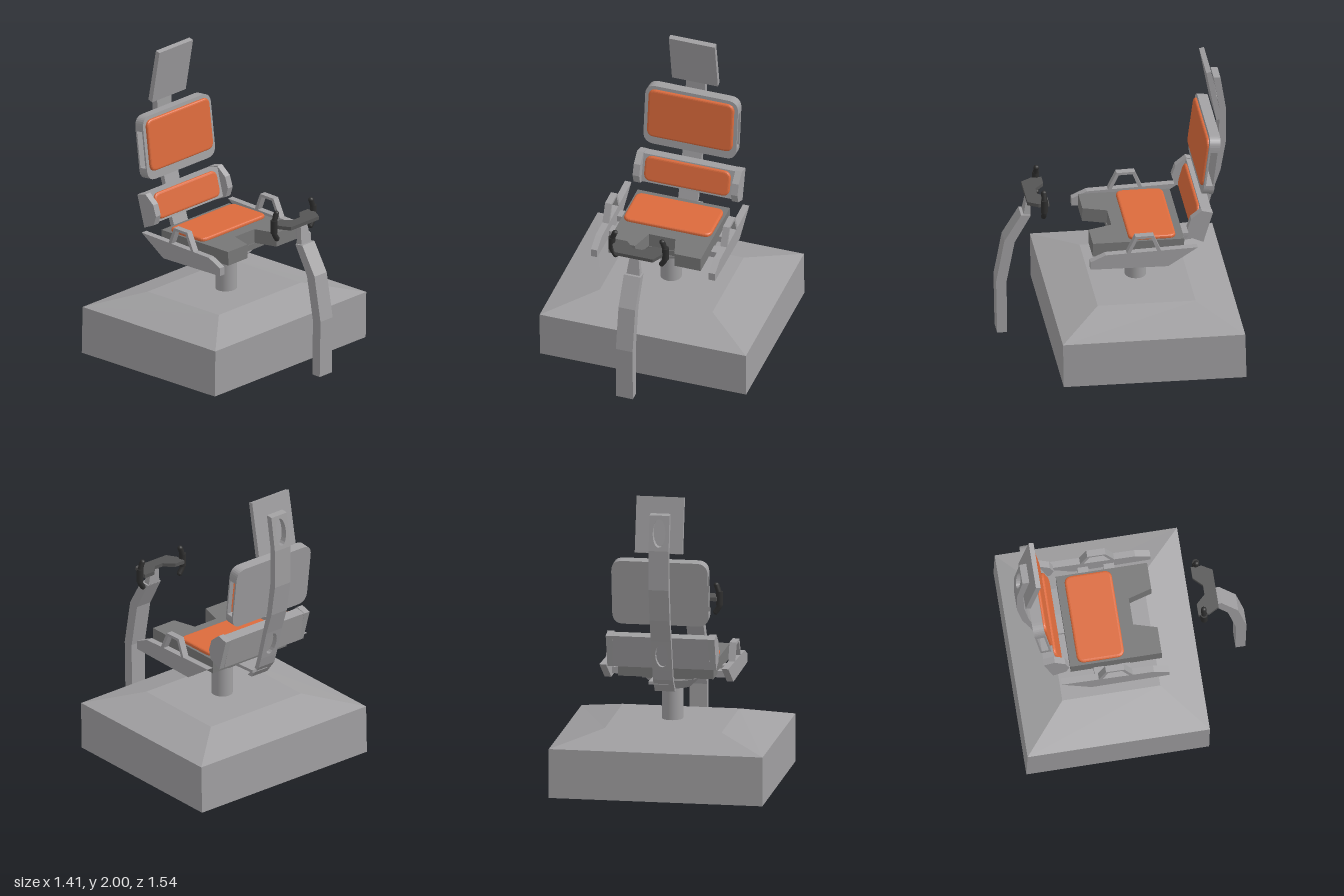
import * as THREE from 'three';

const mat = (name, color, both) => {
  const m = new THREE.MeshStandardMaterial({ color });
  m.name = name;
  if (both) m.side = THREE.DoubleSide;
  return m;
};

// Closed skin through four-cornered rings, listed bottom to top
function loft(rings) {
  const out = [];
  const quad = (a, b, c, d) => out.push(...a, ...b, ...c, ...a, ...c, ...d);
  for (let k = 0; k + 1 < rings.length; k++) {
    const r = rings[k], s = rings[k + 1];
    for (let i = 0; i < 4; i++) quad(r[i], r[(i + 1) % 4], s[(i + 1) % 4], s[i]);
  }
  quad(...[...rings[0]].reverse());
  quad(...rings[rings.length - 1]);
  const g = new THREE.BufferGeometry();
  g.setAttribute('position', new THREE.Float32BufferAttribute(out, 3));
  g.computeVertexNormals();
  return g;
}
// Ring from half width and the front and back edges as [z, y]
const ring = (w, [zf, yf], [zb, yb], cx = 0) =>
  [[cx + w, yf, zf], [cx + w, yb, zb], [cx - w, yb, zb], [cx - w, yf, zf]];

const polygon = pts => new THREE.Shape(pts.map(p => new THREE.Vector2(...p)));

// Side profile of [z, y] points, extruded across x about the centre
function profile(pts, width) {
  const g = new THREE.ExtrudeGeometry(polygon(pts), { depth: width, bevelEnabled: false });
  return g.translate(0, 0, -width / 2).rotateY(-Math.PI / 2);
}

// Rectangle with separate radii for the lower and upper corners
function roundRect(w, y0, y1, rLow, rHigh) {
  const s = new THREE.Shape(), h = w / 2;
  s.moveTo(-h + rLow, y0).lineTo(h - rLow, y0);
  if (rLow) s.quadraticCurveTo(h, y0, h, y0 + rLow);
  s.lineTo(h, y1 - rHigh);
  if (rHigh) s.quadraticCurveTo(h, y1, h - rHigh, y1);
  s.lineTo(-h + rHigh, y1);
  if (rHigh) s.quadraticCurveTo(-h, y1, -h, y1 - rHigh);
  s.lineTo(-h, y0 + rLow);
  if (rLow) s.quadraticCurveTo(-h, y0, -h + rLow, y0);
  return s;
}
const slab = (shape, depth, z = 0) =>
  new THREE.ExtrudeGeometry(shape, { depth, bevelEnabled: false, curveSegments: 8 }).translate(0, 0, z);

// Softly bevelled cushion facing +z, its back on z = 0
function cushion(w, h) {
  const b = 0.015;
  return new THREE.ExtrudeGeometry(roundRect(w - 2 * b, -h / 2 + b, h / 2 - b, 0.035, 0.035), {
    depth: 0.008, bevelThickness: 0.012, bevelSize: b, bevelSegments: 3, curveSegments: 6,
  });
}

export function createModel() {
  const model = new THREE.Group();
  model.name = 'rigChair';
  const grey = mat('frame grey', 0xa09fa1);
  const seatGrey = mat('seat grey', 0x777777);
  const orange = mat('cushion orange', 0xdb6a3c);
  const dark = mat('handlebar grey', 0x555555);
  const black = mat('grip black', 0x2e2e2e);
  const add = (name, geo, material, x = 0, y = 0, z = 0, rx = 0, parent = model) => {
    const m = new THREE.Mesh(geo, material);
    m.name = name;
    m.position.set(x, y, z);
    m.rotation.x = rx;
    parent.add(m);
    return m;
  };
  const box = (w, h, d) => new THREE.BoxGeometry(w, h, d);

  // Slightly tilted plinth with a sloping top
  add('base', loft([
    ring(0.705, [0.43, 0.035], [-0.77, 0]),
    ring(0.705, [0.435, 0.353], [-0.762, 0.323]),
    ring(0.385, [0.158, 0.435], [-0.485, 0.415]),
  ]), grey);

  // Pedestal
  add('pole', new THREE.CylinderGeometry(0.07, 0.07, 0.26, 28), grey, 0, 0.53, -0.148);
  const cone = add('hubCone', new THREE.CylinderGeometry(0.19, 0.122, 0.065, 28), grey, 0, 0.675, -0.145);
  const cap = add('hubCap', new THREE.CylinderGeometry(0.19, 0.19, 0.025, 28), grey, 0, 0.718, -0.145);
  for (const m of [cone, cap]) m.scale.z = 0.88;

  // Seat with a notch cut out of its front edge
  const seatShape = polygon([[-0.315, -0.18], [-0.135, -0.18], [-0.09, -0.025], [0.09, -0.025],
    [0.135, -0.18], [0.315, -0.18], [0.315, 0.42], [-0.315, 0.42]]);
  add('seat', slab(seatShape, 0.095), seatGrey, -0.004, 0.763, 0, -Math.PI / 2 + 0.0).rotation.x -= 0.025;
  add('seatCushion', cushion(0.6, 0.31), orange, -0.005, 0.856, -0.217, -Math.PI / 2 - 0.025);
  add('seatMount', box(0.34, 0.04, 0.36), seatGrey, 0, 0.745, -0.15);
  for (const z of [-0.235, -0.065]) add('crossBar', box(0.8, 0.042, 0.07), grey, -0.005, 0.754, z);
  add('backLink', box(0.13, 0.02, 0.24), grey, 0.02, 0.738, -0.43, 0.03);

  // Side rails, each with a raised loop handle
  const rail = profile([[0.21, 0.735], [0.21, 0.79], [0.11, 0.835], [-0.495, 0.84], [-0.3, 0.715]].reverse(), 0.044);
  const loop = profile([[-0.025, 0.83], [-0.085, 0.955], [-0.205, 0.955], [-0.255, 0.83],
    [-0.23, 0.83], [-0.19, 0.937], [-0.1, 0.937], [-0.05, 0.83]], 0.044);
  for (const s of [-1, 1]) {
    add('sideRail', rail, grey, s * 0.403 - 0.005);
    add('loopHandle', loop, grey, s * 0.403 - 0.005);
  }

  // Lumbar support between two cheek plates
  add('lumbarBody', profile([[-0.53, 1.068], [-0.6, 1.055], [-0.545, 0.842], [-0.478, 0.878]], 0.64), grey);
  const cheek = profile([[-0.435, 0.945], [-0.46, 1.02], [-0.53, 1.076], [-0.603, 1.055], [-0.54, 0.84], [-0.455, 0.88]], 0.045);
  for (const s of [-1, 1]) add('lumbarCheek', cheek, grey, s * 0.336);
  add('lumbarCushion', cushion(0.585, 0.175), orange, -0.005, 0.975, -0.508, -0.265);

  // Hollow backrest shell, open at both sides
  const back = new THREE.Group();
  back.name = 'backrest';
  back.position.set(-0.005, 1.361, -0.603);
  back.rotation.x = -0.125;
  model.add(back);
  const panel = roundRect(0.635, -0.216, 0.216, 0.075, 0.075);
  add('backrestFront', slab(panel, 0.012, 0.023), grey, 0, 0, 0, 0, back);
  add('backrestRear', slab(panel, 0.012, -0.035), grey, 0, 0, 0, 0, back);
  add('backrestTop', slab(roundRect(0.635, 0.12, 0.216, 0, 0.075), 0.048, -0.024), grey, 0, 0, 0, 0, back);
  add('backrestBottom', slab(roundRect(0.635, -0.216, -0.13, 0.075, 0), 0.048, -0.024), grey, 0, 0, 0, 0, back);
  add('backrestCushion', cushion(0.585, 0.35), orange, 0, 0.017, 0.033, 0, back);

  // Curved spine: each row is y and z of the front edge, then of the rear edge
  const rows = [
    [0.68, -0.465, 0.68, -0.505], [0.755, -0.535, 0.77, -0.575], [0.84, -0.563, 0.84, -0.597],
    [1.04, -0.615, 1.04, -0.65], [1.2, -0.658, 1.19, -0.7], [1.42, -0.69, 1.4, -0.735],
    [1.66, -0.693, 1.66, -0.735], [1.895, -0.655, 1.89, -0.7],
  ];
  const slots = new Set([2, 6]);
  const spine = new THREE.Group();
  spine.name = 'spine';
  model.add(spine);
  for (let k = 0; k + 1 < rows.length; k++) {
    const shape = polygon([[-0.066, 0], [0.066, 0], [0.066, 1], [-0.066, 1]]);
    if (slots.has(k)) {
      const hole = new THREE.Path();
      hole.absellipse(0, 0.5, 0.042, 0.4, 0, Math.PI * 2, true);
      shape.holes.push(hole);
    }
    const g = new THREE.ExtrudeGeometry(shape, { depth: 1, bevelEnabled: false, curveSegments: 10 });
    const p = g.attributes.position, mix = THREE.MathUtils.lerp;
    for (let i = 0; i < p.count; i++) {
      const u = p.getY(i), t = p.getZ(i);
      const at = j => mix(rows[k][j], rows[k + 1][j], u);
      p.setXYZ(i, p.getX(i) - 0.014, mix(at(2), at(0), t), mix(at(3), at(1), t));
    }
    g.computeVertexNormals();
    add('spineSegment', g, grey, 0, 0, 0, 0, spine);
  }

  // Headrest leaning forward
  add('headrest', profile([[-0.592, 1.992], [-0.624, 2], [-0.692, 1.638], [-0.658, 1.628]], 0.314), grey, -0.006);

  // Bent front column with a tapering neck
  const cx = -0.015;
  add('frontColumn', loft([
    ring(0.057, [0.765, 0.08], [0.7, 0.08], cx),
    ring(0.057, [0.772, 0.468], [0.703, 0.465], cx),
    ring(0.057, [0.718, 0.77], [0.65, 0.757], cx),
    ring(0.057, [0.608, 0.957], [0.544, 0.95], cx),
  ]), grey);
  add('columnNeck', loft([
    ring(0.046, [0.59, 0.95], [0.546, 0.945], cx),
    ring(0.03, [0.567, 1.08], [0.537, 1.08], cx),
  ]), grey);

  // Handlebar plate and bowed grips
  const bar = polygon([[-0.168, -0.44], [-0.168, -0.51], [-0.13, -0.578], [0.13, -0.578], [0.168, -0.51],
    [0.168, -0.44], [0.09, -0.44], [0.032, -0.5], [-0.032, -0.5], [-0.09, -0.44]]);
  add('handlebar', slab(bar, 0.024), dark, cx, 1.076, 0, -Math.PI / 2);
  for (const s of [-1, 1]) {
    const path = new THREE.CatmullRomCurve3([[0.162, 1.18], [0.178, 1.13], [0.187, 1.085], [0.182, 1.04], [0.155, 0.995]]
      .map(([x, y]) => new THREE.Vector3(s * x, y, 0)));
    add('grip', new THREE.TubeGeometry(path, 14, 0.018, 10), black, cx, 0, 0.475);
    add('gripCollar', new THREE.CylinderGeometry(0.023, 0.023, 0.09, 12), black, cx + s * 0.183, 1.09, 0.475);
    for (const [x, y] of [[0.161, 1.177], [0.157, 0.999]])
      add('gripEnd', new THREE.SphereGeometry(0.018, 10, 8), black, cx + s * x, y, 0.475);
  }
  return model;
}
